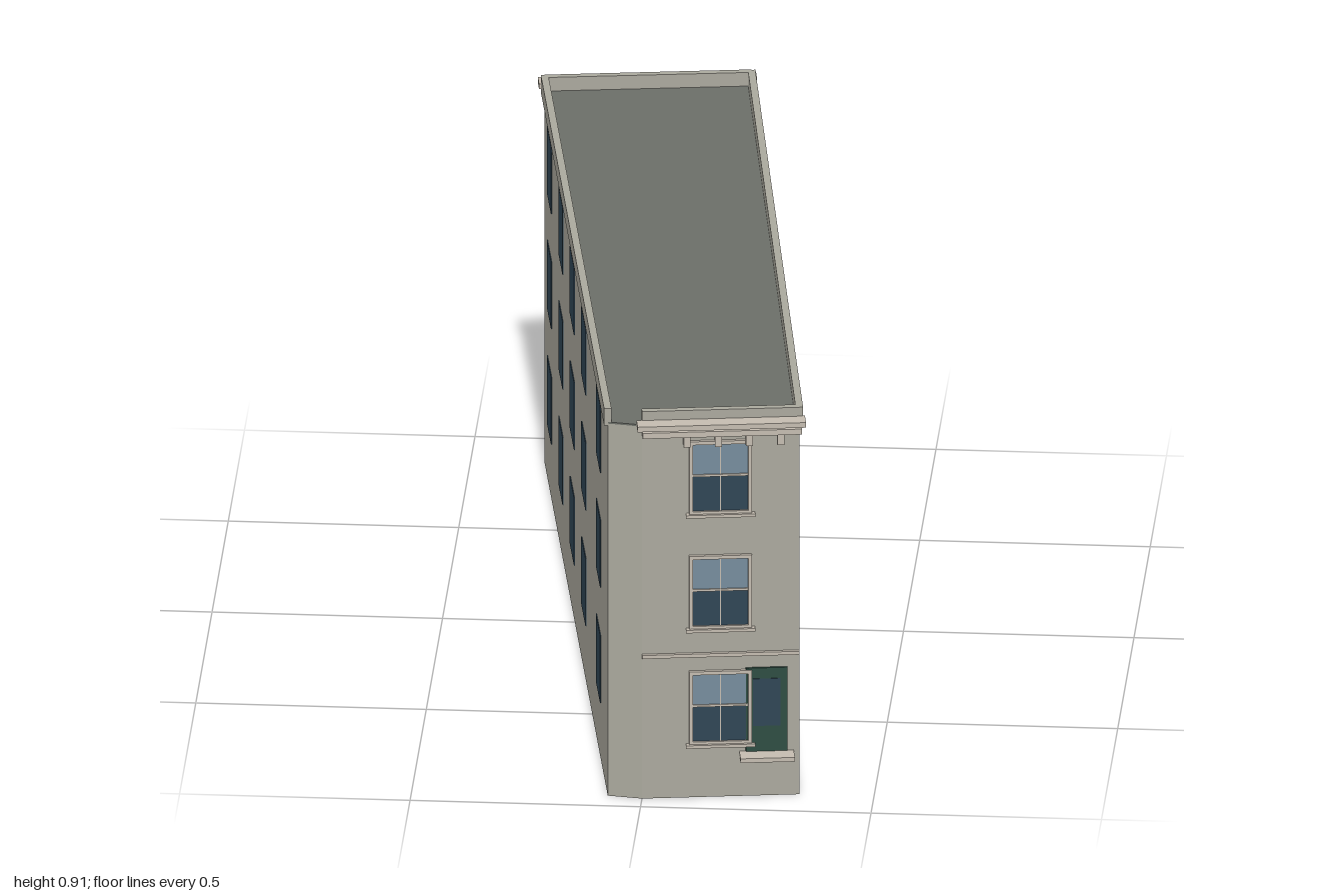
import * as THREE from 'three';

const mat = (color) => new THREE.MeshStandardMaterial({ color });
const WALL = mat(0xaaa89d), TRIM = mat(0xc4bcb0), ROOF = mat(0x6b6e68);
const DARK = mat(0x2f4555), LIGHT = mat(0x768c9c), GREEN = mat(0x2d4c42);

// Plan corners as [x, z]
const BACK_R = [-0.34, -0.87], BACK_L = [0.105, -0.93];
const FRONT_L = [0.338, 0.907], FRONT_R = [0, 0.955], CHAMFER = [-0.075, 0.944];
const FLOORS = [0.213, 0.485, 0.755];

function slab(name, y0, y1, material) {
  const pts = [BACK_R, CHAMFER, FRONT_R, FRONT_L, BACK_L].map(([x, z]) => new THREE.Vector2(x, -z));
  const geo = new THREE.ExtrudeGeometry(new THREE.Shape(pts), { depth: y1 - y0, bevelEnabled: false });
  geo.rotateX(-Math.PI / 2);
  const mesh = new THREE.Mesh(geo, material);
  mesh.position.y = y0;
  mesh.name = name;
  return mesh;
}

// Group lying on a wall: x runs along it as seen from outside, z points outward
function wallGroup(name, a, b) {
  const g = new THREE.Group();
  const dx = b[0] - a[0], dz = b[1] - a[1];
  g.name = name;
  g.position.set(a[0], 0, a[1]);
  g.rotation.y = Math.atan2(-dz, dx);
  g.userData.length = Math.hypot(dx, dz);
  return g;
}

function box(parent, name, [x0, x1], [y0, y1], [z0, z1], material) {
  const mesh = new THREE.Mesh(new THREE.BoxGeometry(x1 - x0, y1 - y0, z1 - z0), material);
  mesh.position.set((x0 + x1) / 2, (y0 + y1) / 2, (z0 + z1) / 2);
  mesh.name = name;
  parent.add(mesh);
  return mesh;
}

// Rectangular surround made of four bars
function surround(g, name, x0, x1, y0, y1, t, depth) {
  box(g, name, [x0 - t, x0], [y0, y1], [0, depth], TRIM);
  box(g, name, [x1, x1 + t], [y0, y1], [0, depth], TRIM);
  box(g, name, [x0 - t, x1 + t], [y1, y1 + t], [0, depth], TRIM);
  box(g, name, [x0 - t, x1 + t], [y0 - t, y0], [0, depth], TRIM);
}

// Two-pane sliding window with sill
function sashWindow(parent, cx, cy) {
  const g = new THREE.Group();
  g.name = 'sashWindow';
  g.position.set(cx, cy, 0);
  parent.add(g);
  box(g, 'lowerPane', [-0.06, 0.06], [-0.08, 0.003], [0, 0.003], DARK);
  box(g, 'upperPane', [-0.06, 0.06], [0.003, 0.077], [0, 0.003], LIGHT);
  surround(g, 'windowFrame', -0.06, 0.06, -0.08, 0.077, 0.008, 0.008);
  box(g, 'meetingRail', [-0.06, 0.06], [0.001, 0.006], [0, 0.006], TRIM);
  box(g, 'mullion', [-0.0015, 0.0015], [-0.08, 0.077], [0, 0.005], TRIM);
  box(g, 'sill', [-0.075, 0.075], [-0.093, -0.086], [0, 0.014], TRIM);
}

// Door with glazed panel, and a step in front
function door(parent, cx, y0, y1) {
  const g = new THREE.Group();
  g.name = 'door';
  parent.add(g);
  box(g, 'doorLeaf', [cx - 0.045, cx + 0.045], [y0, y1], [0, 0.005], GREEN);
  box(g, 'doorGlass', [cx - 0.03, cx + 0.03], [y0 + 0.06, y1 - 0.025], [0, 0.006], DARK);
  box(g, 'doorStep', [cx - 0.059, cx + 0.059], [y0 - 0.011, y0 - 0.001], [0, 0.042], TRIM);
}

// Cornice with brackets, string course and parapet shared by both end walls
function facadeTrim(g, brackets) {
  const L = g.userData.length;
  box(g, 'corniceSlab', [-0.012, L + 0.012], [0.879, 0.891], [0, 0.038], TRIM);
  box(g, 'corniceMoulding', [0, L + 0.004], [0.857, 0.87], [0, 0.024], TRIM);
  box(g, 'stringCourse', [0, L], [0.332, 0.34], [0, 0.008], TRIM);
  box(g, 'parapet', [0, L], [0.87, 0.912], [-0.014, 0.002], WALL);
  for (const x of brackets) {
    box(g, 'bracket', [x - 0.0075, x + 0.0075], [0.831, 0.857], [0, 0.018], TRIM);
  }
}

function sideWall(name, a, b, columns) {
  const g = wallGroup(name, a, b);
  box(g, 'parapet', [0, g.userData.length], [0.872, 0.912], [-0.008, 0.008], WALL);
  for (const x of columns) {
    for (const y of FLOORS) {
      box(g, 'sideWindow', [x - 0.06, x + 0.06], [y - 0.08, y + 0.079], [-0.002, 0.002], DARK);
    }
  }
  return g;
}

export function createModel() {
  const model = new THREE.Group();
  model.name = 'townBuilding';
  model.add(slab('walls', 0, 0.876, WALL), slab('roof', 0.876, 0.88, ROOF));

  // Front wall
  const front = wallGroup('frontFacade', FRONT_R, FRONT_L);
  facadeTrim(front, [0.097, 0.165, 0.232, 0.3]);
  FLOORS.forEach((y) => sashWindow(front, 0.17, y));
  door(front, 0.27, 0.106, 0.302);
  model.add(front);

  // Back wall with shop window
  const back = wallGroup('backFacade', BACK_L, BACK_R);
  const L = back.userData.length, c = L / 2;
  facadeTrim(back, [0, 1, 2, 3, 4, 5].map((i) => 0.045 + (i * (L - 0.09)) / 5));
  FLOORS.slice(1).forEach((y) => sashWindow(back, c, y));
  door(back, 0.385, 0.088, 0.28);
  const shop = new THREE.Group();
  shop.name = 'shopFront';
  shop.position.x = c;
  back.add(shop);
  box(shop, 'shopLowerGlass', [-0.105, 0.105], [0.11, 0.22], [0, 0.003], DARK);
  box(shop, 'shopUpperGlass', [-0.105, 0.105], [0.22, 0.27], [0, 0.003], LIGHT);
  surround(shop, 'shopFrame', -0.105, 0.105, 0.11, 0.27, 0.008, 0.008);
  box(shop, 'shopRail', [-0.105, 0.105], [0.218, 0.222], [0, 0.006], TRIM);
  for (const x of [-0.035, 0.035]) box(shop, 'shopMullion', [x - 0.002, x + 0.002], [0.11, 0.27], [0, 0.006], TRIM);
  box(shop, 'shopSill', [-0.12, 0.12], [0.094, 0.102], [0, 0.014], TRIM);
  box(shop, 'fascia', [-0.12, 0.12], [0.285, 0.328], [0, 0.007], GREEN);

  // Sloping awning
  const awning = box(shop, 'awning', [-0.109, 0.109], [-0.004, 0.004], [0, 0.085], GREEN);
  awning.geometry.translate(0, 0, 0.0425);
  awning.position.set(0.006, 0.288, 0.002);
  awning.rotation.x = 0.4;
  model.add(back);

  // Side walls
  const left = sideWall('leftWall', FRONT_L, BACK_L, [0, 1, 2, 3, 4, 5].map((i) => 0.15 + i * 0.302));
  const right = sideWall('rightWall', BACK_R, CHAMFER, [0.152, 0.485, 0.817, 1.15, 1.574]);
  model.add(left, right);
  return model;
}
